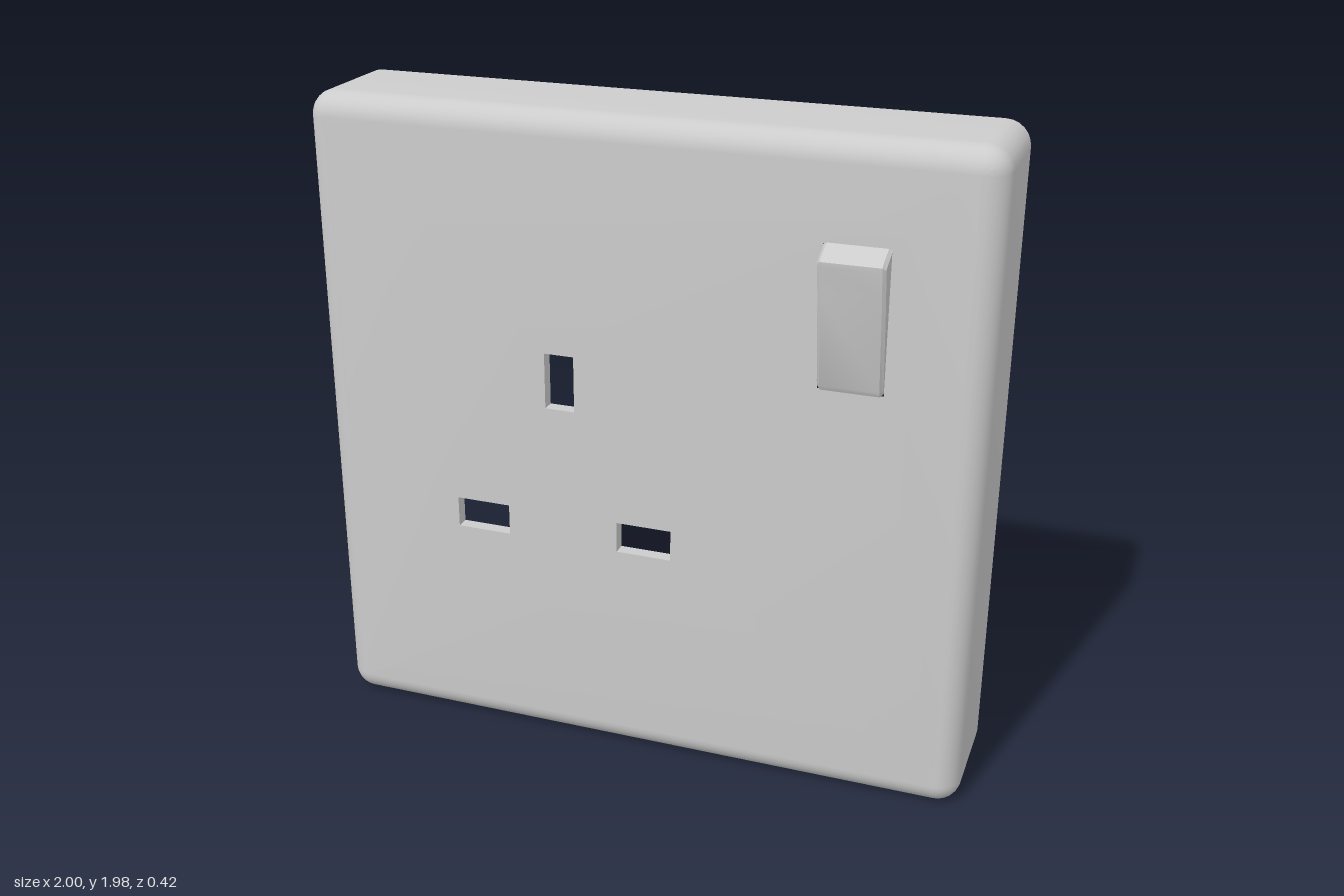
import * as THREE from 'three';
import { mergeGeometries, toCreasedNormals } from 'three/addons/utils/BufferGeometryUtils.js';

const H = 1.975, FRONT = 0.137, BACK = -0.21;
const CORNER = 0.072, FILLET = 0.07;
const material = new THREE.MeshStandardMaterial({ color: 0xcccccc, side: THREE.DoubleSide });

// Skin over rows of [x, y, z] points; closed joins each row's end to its start
function loft(rows, closed) {
  const n = rows[0].length, index = [];
  for (let i = 0; i < rows.length - 1; i++) {
    for (let j = 0; j < (closed ? n : n - 1); j++) {
      const k = (j + 1) % n, a = i * n + j, b = i * n + k;
      index.push(a, b, b + n, a, b + n, a + n);
    }
  }
  const geometry = new THREE.BufferGeometry();
  geometry.setAttribute('position', new THREE.Float32BufferAttribute(rows.flat(2), 3));
  geometry.setIndex(index);
  return geometry.toNonIndexed();
}

// Counter-clockwise rounded rectangle ring, shrunk by inset
function plateRing(inset, z) {
  const r = CORNER - inset, points = [];
  const corners = [[1, 1], [-1, 1], [-1, -1], [1, -1]];
  corners.forEach(([sx, sy], c) => {
    for (let i = 0; i <= 6; i++) {
      const a = (c + i / 6) * Math.PI / 2;
      points.push([
        sx * (1 - CORNER) + r * Math.cos(a),
        H / 2 + sy * (H / 2 - CORNER) + r * Math.sin(a), z]);
    }
  });
  return points;
}

function rectangle(cx, cy, w, h, z) {
  return [[-1, -1], [1, -1], [1, 1], [-1, 1]].map(([sx, sy]) => [cx + sx * w / 2, cy + sy * h / 2, z]);
}

const toVectors = (points) => points.map(([x, y]) => new THREE.Vector2(x, y));

// Pin openings: centre x, centre y, width, height
const slots = [
  [-0.23, 1.19, 0.09, 0.17],
  [-0.23 - 0.257, 0.722, 0.168, 0.095],
  [-0.23 + 0.257, 0.722, 0.168, 0.095],
];
const switchX = 0.623, switchW = 0.184;
const switchOpening = [switchX, 1.485, switchW, 0.41];

// Hollow cover: open back, walls, rounded front edge, pierced front
function coverGeometry() {
  const rings = [plateRing(0, BACK)];
  for (let i = 0; i <= 8; i++) {
    const a = i / 8 * Math.PI / 2;
    rings.push(plateRing(FILLET * (1 - Math.cos(a)), FRONT - FILLET * (1 - Math.sin(a))));
  }
  const face = new THREE.Shape(toVectors(rings[rings.length - 1]));
  for (const s of [...slots, switchOpening]) {
    face.holes.push(new THREE.Path(toVectors(rectangle(...s, 0))));
  }
  const front = new THREE.ShapeGeometry(face).translate(0, 0, FRONT).toNonIndexed();
  front.deleteAttribute('uv');
  front.deleteAttribute('normal');
  return toCreasedNormals(mergeGeometries([loft(rings, true), front]), 0.6);
}

// Hollow tilted rocker with small bevels along its sides, open at the back
function rockerGeometry() {
  // [y, z] from the top rear rim over the front to the bottom rear rim
  const profile = [[1.705, 0.105], [1.668, 0.198], [1.66, 0.207], [1.648, 0.206],
    [1.57, 0.188], [1.295, 0.154], [1.28, 0.146], [1.305, 0.022]];
  const edge = profile.map(([y, z], i) => {
    const rim = i === 0 || i === profile.length - 1;
    return [y + (y > 1.485 ? -0.008 : 0.008), rim ? z : z - 0.009];
  });
  const half = switchW / 2, inner = half - 0.009;
  const row = (x, line) => line.map(([y, z]) => [switchX + x, y, z]);
  const parts = [loft([row(-half, edge), row(-inner, profile), row(inner, profile), row(half, edge)], false)];

  // Side cheeks
  for (const side of [-1, 1]) {
    const outline = edge.map(([y, z]) => [-z, y]);
    const cheek = new THREE.ShapeGeometry(new THREE.Shape(toVectors(outline)));
    cheek.rotateY(Math.PI / 2).translate(switchX + side * half, 0, 0);
    if (side < 0) cheek.index.array.reverse();
    const flat = cheek.toNonIndexed();
    flat.deleteAttribute('uv');
    flat.deleteAttribute('normal');
    parts.push(flat);
  }
  return toCreasedNormals(mergeGeometries(parts), 0.5);
}

export function createModel() {
  const model = new THREE.Group();
  model.name = 'wallSocket';
  const add = (name, geometry) => {
    const mesh = new THREE.Mesh(geometry, material);
    mesh.name = name;
    model.add(mesh);
  };

  add('coverPlate', coverGeometry());
  add('rockerSwitch', rockerGeometry());

  // Short sleeves running back from each pin opening
  const names = ['earthSlot', 'rightPinSlot', 'leftPinSlot'];
  slots.forEach((s, i) => {
    const sleeve = loft([rectangle(...s, FRONT), rectangle(...s, FRONT - 0.04)], true);
    sleeve.computeVertexNormals();
    add(names[i], sleeve);
  });
  return model;
}
